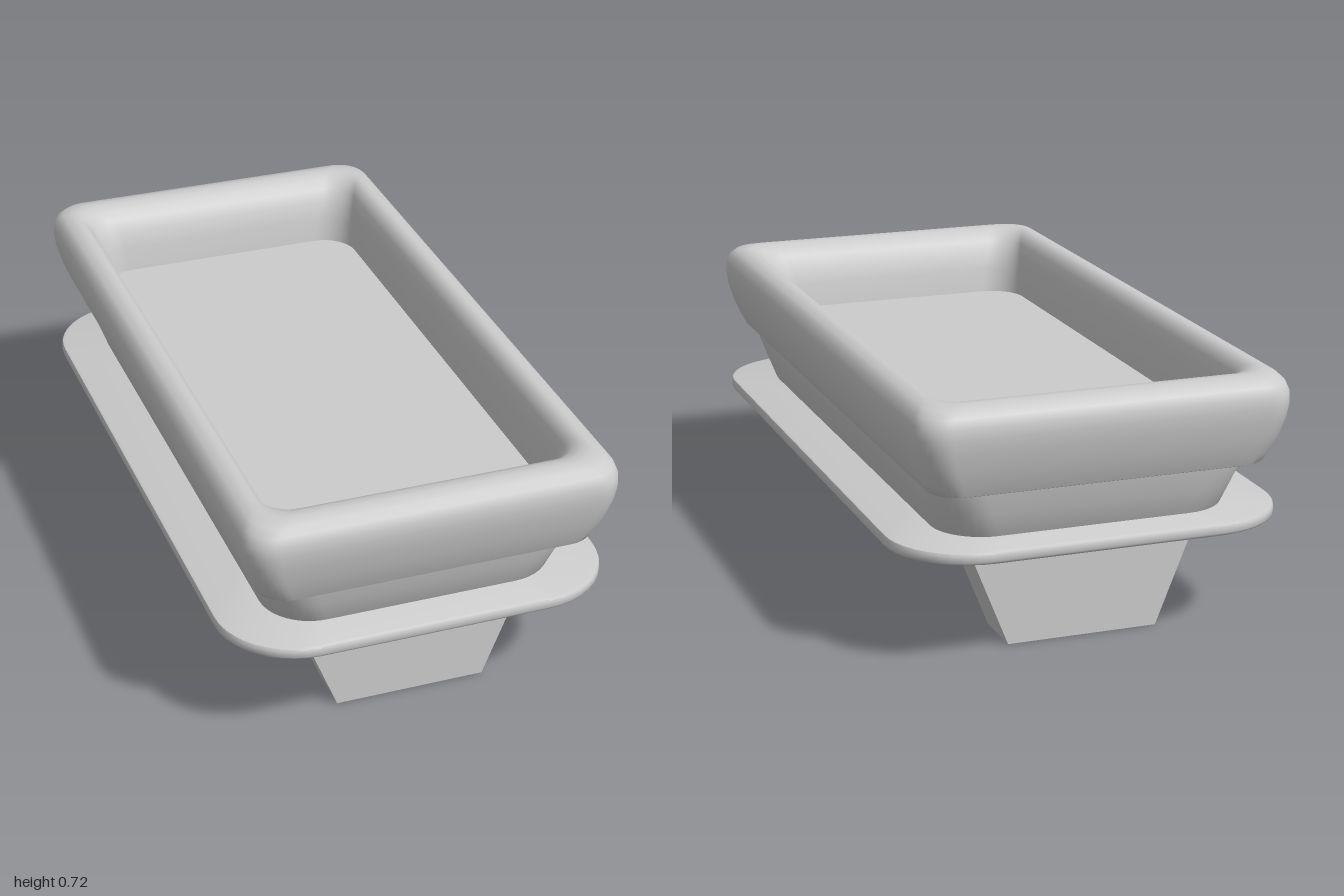
import * as THREE from 'three';
import { toCreasedNormals } from 'three/addons/utils/BufferGeometryUtils.js';

const STEPS = 10; // segments per rounded corner

// Outline of a rounded rectangle at height y: half sizes hx, hz and corner radius r.
function ring([hx, hz, y, r]) {
  const points = [];
  for (let corner = 0; corner < 4; corner++) {
    const sx = corner === 0 || corner === 3 ? 1 : -1;
    const sz = corner < 2 ? 1 : -1;
    for (let i = 0; i <= STEPS; i++) {
      const a = (corner + i / STEPS) * Math.PI / 2;
      points.push(sx * (hx - r) + r * Math.cos(a), y, sz * (hz - r) + r * Math.sin(a));
    }
  }
  return points;
}

// Skin through successive rounded rectangles; a ring of size 0 closes an end.
function loft(sections) {
  const n = 4 * (STEPS + 1);
  const index = [];
  for (let s = 0; s < sections.length - 1; s++) {
    for (let i = 0; i < n; i++) {
      const a = s * n + i, b = s * n + (i + 1) % n;
      index.push(a, a + n, b, b, a + n, b + n);
    }
  }
  const geometry = new THREE.BufferGeometry();
  geometry.setAttribute('position', new THREE.Float32BufferAttribute(sections.flatMap(ring), 3));
  geometry.setIndex(index);
  return toCreasedNormals(geometry, 0.7);
}

export function createModel() {
  const model = new THREE.Group();
  const material = new THREE.MeshStandardMaterial({ color: 0xcccccc });
  const add = (name, geometry) => {
    const mesh = new THREE.Mesh(geometry, material);
    mesh.name = name;
    model.add(mesh);
    return mesh;
  };

  // Thick rounded rim, running over the top and down to the tray floor
  add('rimAndFloor', loft([
    [0.40, 0.86, 0.475, 0.08],
    [0.45, 0.945, 0.475, 0.08],
    [0.462, 0.957, 0.48, 0.08],
    [0.475, 0.968, 0.505, 0.08],
    [0.493, 0.982, 0.55, 0.08],
    [0.507, 0.994, 0.60, 0.08],
    [0.512, 1.0, 0.64, 0.08],
    [0.511, 0.999, 0.67, 0.08],
    [0.502, 0.99, 0.695, 0.08],
    [0.486, 0.972, 0.712, 0.08],
    [0.46, 0.94, 0.72, 0.08],
    [0.445, 0.915, 0.718, 0.08],
    [0.43, 0.89, 0.707, 0.08],
    [0.418, 0.868, 0.685, 0.08],
    [0.41, 0.85, 0.65, 0.09],
    [0.405, 0.838, 0.60, 0.10],
    [0.40, 0.828, 0.53, 0.10],
    [0, 0, 0.53, 0],
  ]));

  // Tapered basin under the rim, its base showing just below the plate
  add('basin', loft([
    [0, 0, 0.29, 0],
    [0.34, 0.80, 0.29, 0.14],
    [0.375, 0.835, 0.293, 0.14],
    [0.39, 0.85, 0.305, 0.14],
    [0.405, 0.87, 0.335, 0.14],
    [0.428, 0.89, 0.40, 0.14],
    [0.447, 0.906, 0.455, 0.14],
    [0.45, 0.91, 0.478, 0.14],
    [0, 0, 0.478, 0],
  ]));

  // Thin plate with softened edges
  add('plate', loft([
    [0, 0, 0.30, 0],
    [0.53, 0.97, 0.30, 0.22],
    [0.537, 0.977, 0.304, 0.22],
    [0.539, 0.98, 0.31, 0.22],
    [0.539, 0.98, 0.326, 0.22],
    [0.537, 0.977, 0.332, 0.22],
    [0.53, 0.97, 0.335, 0.22],
    [0, 0, 0.335, 0],
  ]));

  // Three trapezoid feet, wider at the top
  const footShape = new THREE.Shape([
    new THREE.Vector2(-0.21, 0), new THREE.Vector2(0.21, 0),
    new THREE.Vector2(0.33, 0.30), new THREE.Vector2(-0.33, 0.30),
  ]);
  const foot = new THREE.ExtrudeGeometry(footShape, { depth: 0.155, bevelEnabled: false });
  [['frontFoot', 0.645], ['middleFoot', -0.07], ['backFoot', -0.79]].forEach(([name, z]) => {
    add(name, foot).position.z = z;
  });

  return model;
}
